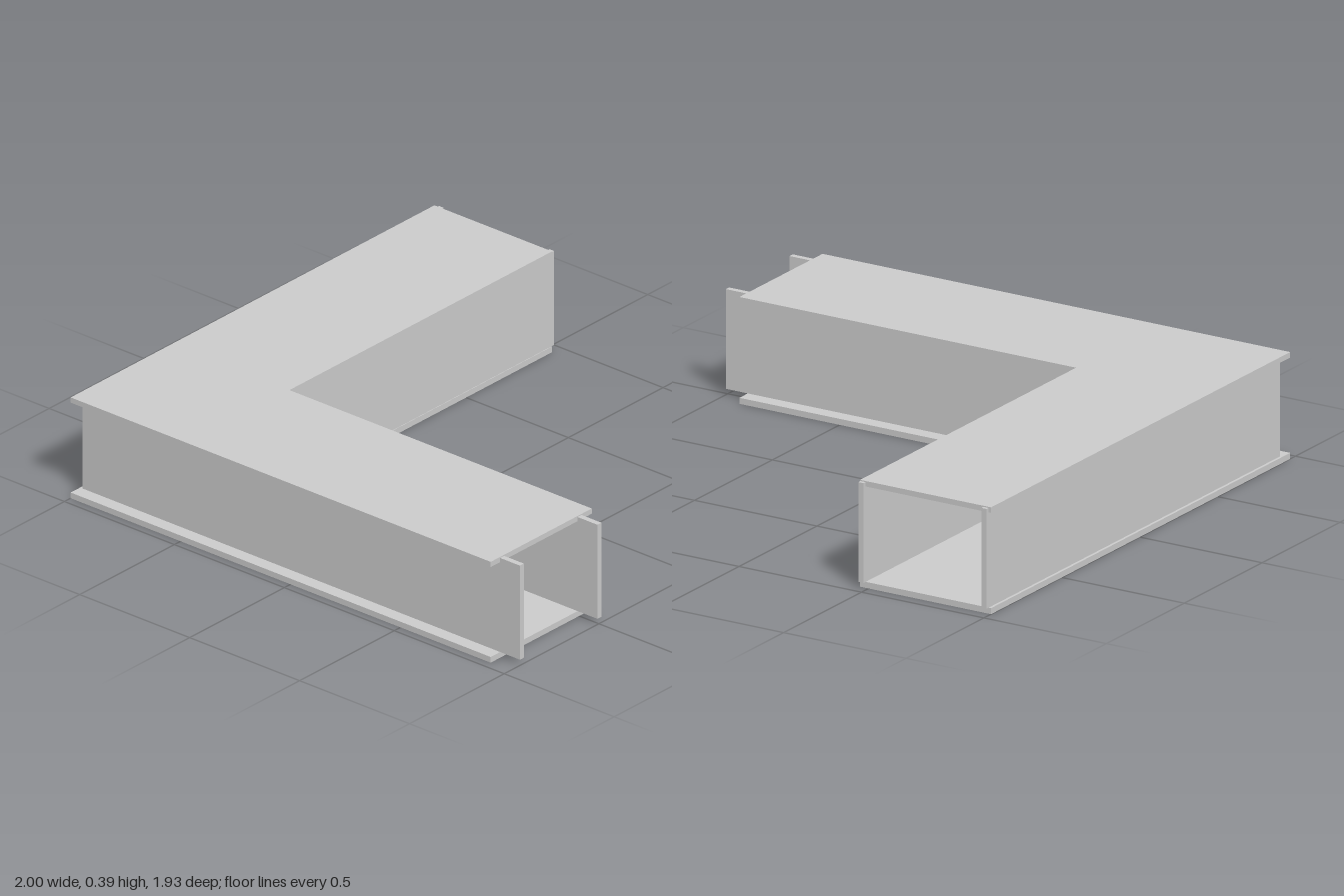
import * as THREE from 'three';

export function createModel() {
  const group = new THREE.Group();
  const material = new THREE.MeshStandardMaterial({ color: 0xcccccc, flatShading: true });

  const add = (name, geometry) => {
    const mesh = new THREE.Mesh(geometry, material);
    mesh.name = name;
    group.add(mesh);
    return mesh;
  };

  // L-shaped cover plates, drawn in (x, -z) and laid flat
  const outline = [[-1, -0.967], [0.91, -0.967], [0.91, -0.433], [-0.465, -0.433], [-0.465, 0.954], [-1, 0.954]];
  const shape = new THREE.Shape(outline.map(([x, y]) => new THREE.Vector2(x, y)));
  const plate = (name, y, depth) => {
    const geometry = new THREE.ExtrudeGeometry(shape, { depth, bevelEnabled: false });
    geometry.rotateX(-Math.PI / 2);
    add(name, geometry).position.y = y;
  };
  plate('bottomPlate', 0, 0.022);
  plate('topPlate', 0.37, 0.02);

  // Upright walls, given by their x and z ranges
  const bottom = 0.022, top = 0.386;
  const wall = (name, x0, x1, z0, z1) => {
    const mesh = add(name, new THREE.BoxGeometry(x1 - x0, top - bottom, z1 - z0));
    mesh.position.set((x0 + x1) / 2, (bottom + top) / 2, (z0 + z1) / 2);
  };
  wall('outerFrontWall', -0.99, 1, 0.896, 0.917);
  wall('innerFrontWall', -0.467, 1, 0.487, 0.508);
  wall('outerSideWall', -0.99, -0.969, -0.967, 0.896);
  wall('innerSideWall', -0.488, -0.467, -0.967, 0.508);

  return group;
}
